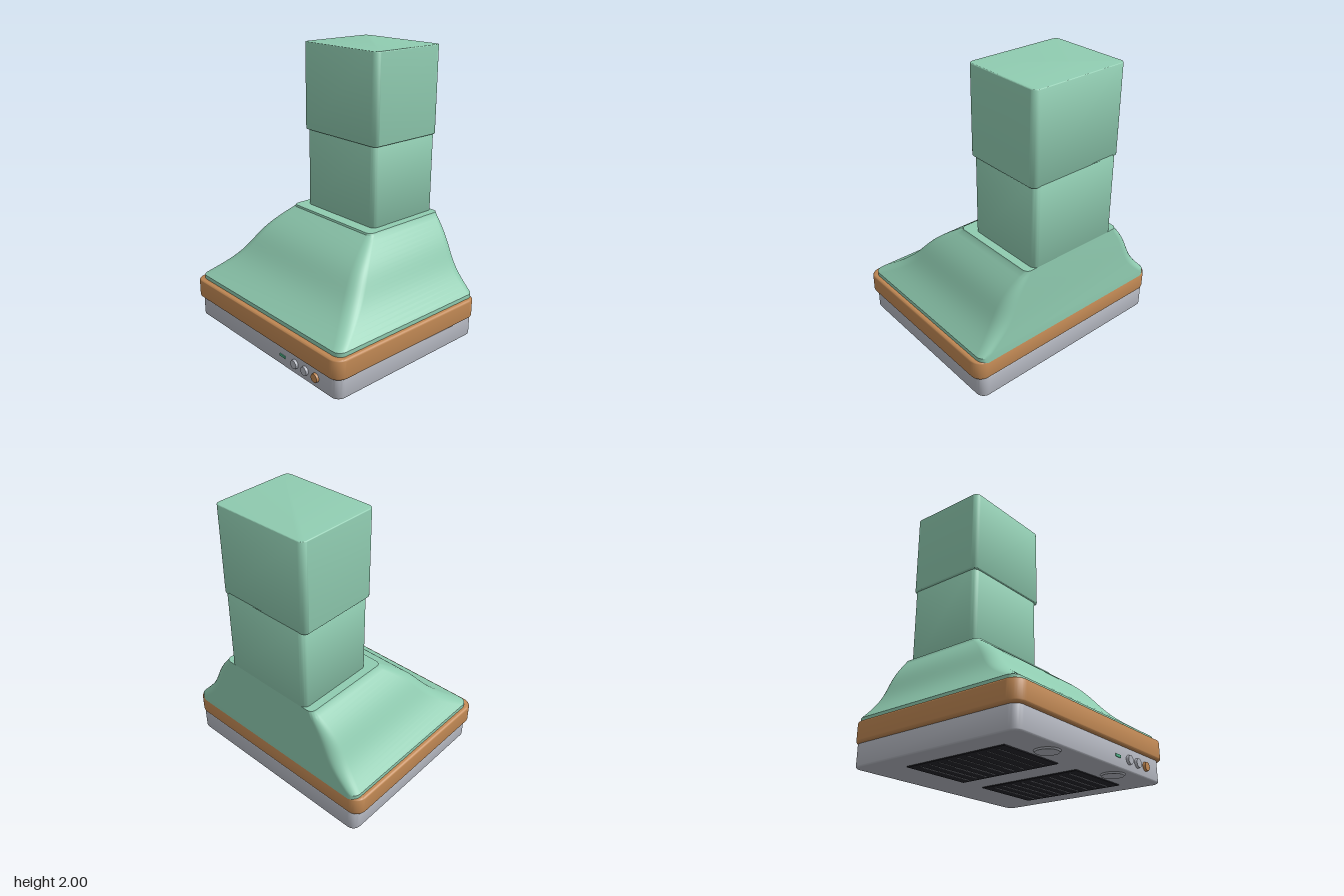
import * as THREE from 'three';
import { toCreasedNormals } from 'three/addons/utils/BufferGeometryUtils.js';

const BACK = -0.65;

const paint = (name, hex) => {
  const m = new THREE.MeshStandardMaterial({ color: hex });
  m.name = name;
  return m;
};

// Points of a rounded rectangle in x and z, running from +x towards +z
function roundedRing(halfX, z0, z1, r, steps = 8) {
  const pts = [];
  const corners = [[halfX - r, z1 - r], [r - halfX, z1 - r], [r - halfX, z0 + r], [halfX - r, z0 + r]];
  corners.forEach(([cx, cz], k) => {
    for (let i = 0; i <= steps; i++) {
      const a = (k + i / steps) * Math.PI / 2;
      pts.push([cx + r * Math.cos(a), cz + r * Math.sin(a)]);
    }
  });
  return pts;
}

// Closed skin through rings of { y, pts }, capped at both ends
function loft(rings, crease) {
  const pos = [], idx = [], n = rings[0].pts.length;
  rings.forEach(({ y, pts }) => pts.forEach(([x, z]) => pos.push(x, y, z)));
  for (let i = 0; i < rings.length - 1; i++) {
    for (let j = 0; j < n; j++) {
      const a = i * n + j, b = i * n + (j + 1) % n;
      idx.push(a, a + n, b, b, a + n, b + n);
    }
  }
  const top = (rings.length - 1) * n;
  for (let j = 1; j < n - 1; j++) {
    idx.push(0, j, j + 1);
    idx.push(top, top + j + 1, top + j);
  }
  const g = new THREE.BufferGeometry();
  g.setAttribute('position', new THREE.Float32BufferAttribute(pos, 3));
  g.setIndex(idx);
  return toCreasedNormals(g, crease);
}

// Upright block with rounded corners and softened top and bottom edges
function block(halfX, z0, z1, y0, y1, r, soft) {
  const rings = [];
  const add = (y, inset) => rings.push({ y, pts: roundedRing(halfX - inset, z0 + inset, z1 - inset, r - inset) });
  const steps = 4;
  for (let i = 0; i <= steps; i++) {
    const a = i / steps * Math.PI / 2;
    add(y0 + soft * (1 - Math.sin(a)), soft * (1 - Math.cos(a)));
  }
  rings.reverse();
  rings.length = 0;
  for (let i = 0; i <= steps; i++) {
    const a = i / steps * Math.PI / 2;
    add(y0 + soft * (1 - Math.cos(a)), soft * (1 - Math.sin(a)));
  }
  for (let i = 0; i <= steps; i++) {
    const a = i / steps * Math.PI / 2;
    add(y1 - soft * (1 - Math.sin(a)), soft * (1 - Math.cos(a)));
  }
  return loft(rings, 0.7);
}

// Gently S-curved canopy with a short upright lip
function canopyGeometry() {
  const rings = [{ y: 0.285, pts: roundedRing(0.76, BACK, 0.61, 0.06) }];
  const steps = 20;
  for (let i = 0; i <= steps; i++) {
    const h = i / steps;
    const t = h + 0.05 * Math.sin(2 * Math.PI * h);
    const r = 0.06 - 0.02 * h + 0.04 * Math.sin(Math.PI * h);
    rings.push({
      y: 0.325 + 0.49 * h,
      pts: roundedRing(0.76 - 0.355 * t, BACK, 0.61 - 0.585 * t, r),
    });
  }
  rings.push({ y: 0.828, pts: roundedRing(0.4, BACK, 0.02, 0.04) });
  return loft(rings, 0.5);
}

export function createModel() {
  const green = paint('sage green enamel', 0x8fcbb0);
  const wood = paint('warm wood', 0xbf8753);
  const steel = paint('pale steel', 0xb0b3bc);
  const dark = paint('filter black', 0x24242a);
  const slatGrey = paint('slat grey', 0x85878f);
  const lampGreen = paint('indicator green', 0x4fb58a);

  const model = new THREE.Group();
  model.name = 'cookerHood';
  const add = (name, geometry, material, x = 0, y = 0, z = 0) => {
    const mesh = new THREE.Mesh(geometry, material);
    mesh.name = name;
    mesh.position.set(x, y, z);
    model.add(mesh);
    return mesh;
  };

  // Main body
  add('base', block(0.765, BACK, 0.625, 0.01, 0.165, 0.06, 0.012), steel);
  add('woodBand', block(0.79, BACK, 0.65, 0.158, 0.297, 0.08, 0.016), wood);
  add('canopy', canopyGeometry(), green);

  // Telescopic duct
  add('lowerDuct', block(0.343, BACK, -0.065, 0.82, 1.41, 0.04, 0.006), green);
  add('upperDuct', block(0.36, BACK, -0.05, 1.39, 2, 0.04, 0.007), green);

  // Front controls
  const knob = new THREE.CylinderGeometry(0.029, 0.032, 0.025, 32).rotateX(Math.PI / 2);
  [[0.355, steel], [0.457, steel], [0.56, wood]].forEach(([x, mat], i) =>
    add('knob' + (i + 1), knob, mat, x, 0.085, 0.63));
  add('indicator', new THREE.BoxGeometry(0.058, 0.018, 0.008), lampGreen, 0.227, 0.085, 0.626);

  // Underside filters with slats, and lamps
  for (const side of [-1, 1]) {
    const x = side * 0.345;
    const label = side > 0 ? 'left' : 'right';
    add(label + 'Filter', new THREE.BoxGeometry(0.5, 0.012, 0.75), dark, x, 0.009, 0.03);
    for (let i = 0; i < 9; i++) {
      add(label + 'Slat' + (i + 1), new THREE.BoxGeometry(0.43, 0.004, 0.01), slatGrey, x, 0.003, -0.27 + i * 0.075);
    }
    add(label + 'Lamp', new THREE.CylinderGeometry(0.08, 0.072, 0.012, 32), steel, x, 0.006, 0.51);
  }

  return model;
}
